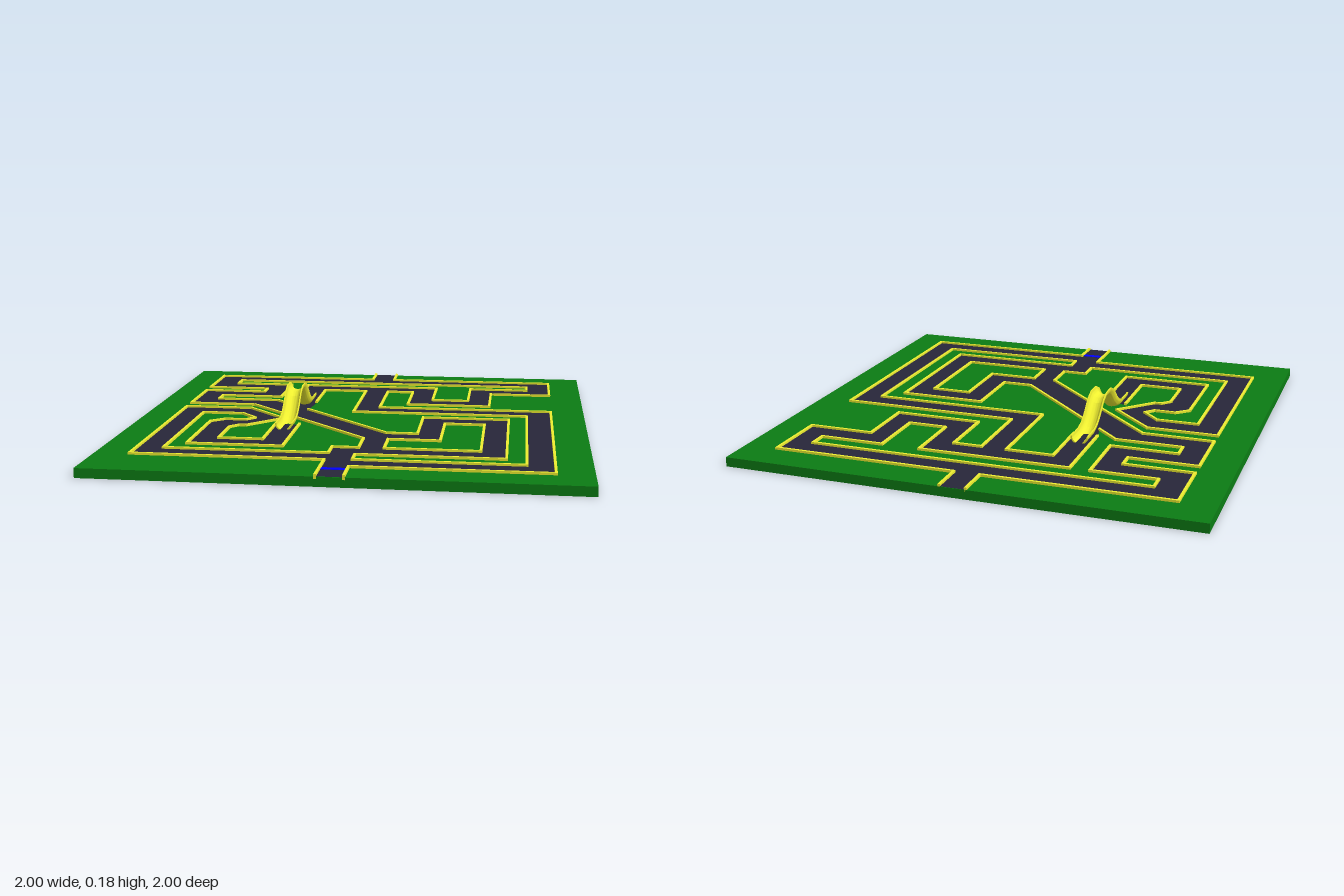
import * as THREE from 'three';
import { mergeGeometries, toCreasedNormals } from 'three/addons/utils/BufferGeometryUtils.js';

const TOP = 0.04; // height of the board surface

// Kerb lines as [x, z] corner points
const upperLeft = [
  [-0.055, -1], [-0.055, -0.85], [-0.85, -0.85], [-0.85, -0.555], [-0.555, -0.555], [-0.555, -0.48],
  [-0.85, -0.48], [-0.85, -0.18], [-0.54, -0.18], [0.055, 0.41], [0.055, 0.565], [-0.055, 0.565], [-0.055, 0.665],
];
const lowerLeftInner = [
  [-0.055, 0.665], [-0.74, 0.665], [-0.74, 0.01], [-0.555, 0.01], [-0.48, 0.09], [-0.515, 0.13], [-0.61, 0.13],
  [-0.665, 0.18], [-0.665, 0.58], [-0.26, 0.58], [-0.26, 0.18],
];
const lowerLeftOuter = [
  [-0.055, 1], [-0.055, 0.77], [-0.85, 0.77], [-0.85, -0.105], [-0.54, -0.105], [-0.35, 0.085], [-0.49, 0.235],
  [-0.52, 0.235], [-0.555, 0.275], [-0.555, 0.475], [-0.365, 0.475], [-0.365, 0.18],
];
const upperInner = [
  [-0.365, -0.275], [-0.365, -0.665], [0.29, -0.665], [0.29, -0.385], [0.46, -0.385], [0.46, -0.665],
  [0.74, -0.665], [0.74, -0.745], [-0.73, -0.745], [-0.73, -0.665], [-0.45, -0.665], [-0.45, -0.37],
  [-0.74, -0.37], [-0.74, -0.29], [-0.45, -0.29], [-0.35, -0.19],
];
const rightInner = [
  [-0.26, -0.275], [-0.26, -0.555], [-0.055, -0.555], [-0.055, -0.09], [0.74, -0.09], [0.74, 0.755],
  [0.055, 0.755], [0.055, 0.675], [0.66, 0.675], [0.66, -0.01], [0.275, -0.01], [0.275, 0.3], [0.14, 0.3], [-0.27, -0.11],
];
const rightOuter = [
  [0.055, -1], [0.055, -0.85], [0.85, -0.85], [0.85, -0.555], [0.565, -0.555], [0.565, -0.275], [0.18, -0.275],
  [0.18, -0.555], [0.055, -0.555], [0.055, -0.195], [0.85, -0.195], [0.85, 0.86], [0.055, 0.86], [0.055, 1],
];
const island = [[0.16, 0.41], [0.38, 0.41], [0.38, 0.1], [0.555, 0.1], [0.555, 0.565], [0.16, 0.565]];

const toPoints = (line) => line.map(([x, z]) => new THREE.Vector2(x, -z));

// Flat road surface lying on the board
function roadGeometry(outline, holes = []) {
  const shape = new THREE.Shape(toPoints(outline));
  shape.holes = holes.map((h) => new THREE.Path(toPoints(h)));
  return new THREE.ShapeGeometry(shape).rotateX(-Math.PI / 2).translate(0, TOP + 0.001, 0);
}

// One thin raised bar per kerb segment, overlapping at the corners
function kerbGeometry(line) {
  const width = 0.011, height = 0.02;
  const bars = line.slice(1).map(([x2, z2], i) => {
    const [x1, z1] = line[i];
    const length = Math.hypot(x2 - x1, z2 - z1);
    return new THREE.BoxGeometry(length + width, height, width)
      .rotateY(-Math.atan2(z2 - z1, x2 - x1))
      .translate((x1 + x2) / 2, 0.04, (z1 + z2) / 2);
  });
  const g = mergeGeometries(bars);
  // trim the bars at the board edge
  const p = g.attributes.position;
  for (let i = 0; i < p.count; i++) p.setZ(i, THREE.MathUtils.clamp(p.getZ(i), -1, 1));
  return g;
}

// Half-pipe channel swept along a humped path
function bridgeGeometry() {
  const half = [[0.325, 0.07], [0.22, 0.07], [0.175, 0.083], [0.135, 0.11], [0.08, 0.16], [0.035, 0.18]];
  const path = [...half.map(([z, y]) => [-z, y]), ...half.slice().reverse()];
  const steps = path.length - 1;
  const profile = new THREE.Shape();
  profile.absarc(0, 0, 0.038, Math.PI, 2 * Math.PI, false);
  profile.absarc(0, 0, 0.032, 2 * Math.PI, Math.PI, true);
  const g = new THREE.ExtrudeGeometry(profile, { depth: steps, steps, bevelEnabled: false, curveSegments: 12 });
  const p = g.attributes.position;
  for (let i = 0; i < p.count; i++) {
    const k = Math.round(p.getZ(i)), d = p.getY(i);
    const a = path[Math.max(k - 1, 0)], b = path[Math.min(k + 1, steps)];
    const tilt = k === 0 || k === steps ? 0 : Math.atan2(b[1] - a[1], b[0] - a[0]);
    p.setXYZ(i, p.getX(i) - 0.313, path[k][1] + d * Math.cos(tilt), path[k][0] - d * Math.sin(tilt) - 0.045);
  }
  return toCreasedNormals(g, 0.3);
}

export function createModel() {
  const group = new THREE.Group();
  const add = (name, geometry, color) => {
    const mesh = new THREE.Mesh(geometry, new THREE.MeshStandardMaterial({ color }));
    mesh.name = name;
    group.add(mesh);
  };
  const green = 0x0c7c14, yellow = 0xeeee30, dark = 0x28263a;

  add('board', new THREE.BoxGeometry(2, TOP, 2).translate(0, TOP / 2, 0), green);

  // Road: the main circuit around its grass islands, and the loop leading to the bridge
  const circuit = [...upperLeft, [-0.055, 1], ...rightOuter.slice().reverse()];
  add('mainRoad', roadGeometry(circuit, [upperInner, rightInner, island]), dark);
  add('loopRoad', roadGeometry([...lowerLeftOuter, ...lowerLeftInner.slice().reverse()]), dark);

  // Kerbs along both sides of the road
  const kerbs = { upperLeft, lowerLeftInner, lowerLeftOuter, upperInner, rightInner, rightOuter, island: [...island, island[0]] };
  for (const [name, line] of Object.entries(kerbs)) add(name + 'Kerb', kerbGeometry(line), yellow);

  // Start line across the front entrance
  add('startLine', new THREE.BoxGeometry(0.1, 0.004, 0.03).translate(0, TOP, 0.885), 0x0000ff);

  add('bridge', bridgeGeometry(), yellow);
  return group;
}
